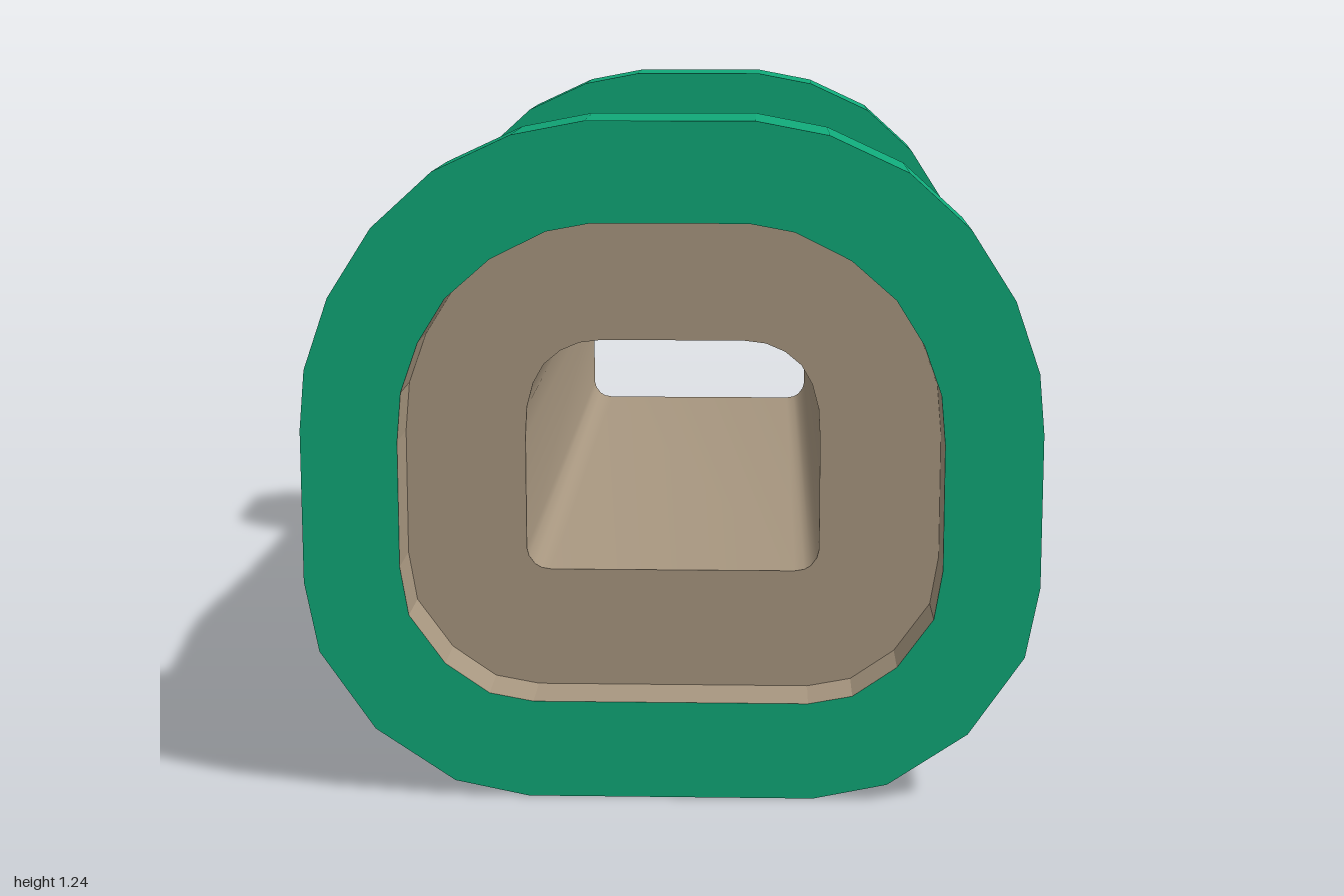
import * as THREE from 'three';
import { toCreasedNormals } from 'three/addons/utils/BufferGeometryUtils.js';

// Right halves of the outlines, from the top round to the bottom
const FLANGE = [[0.15, 1.235], [0.28, 1.21], [0.42, 1.145], [0.53, 1.045], [0.61, 0.92], [0.655, 0.79],
  [0.665, 0.68], [0.665, 0.40], [0.64, 0.27], [0.54, 0.125], [0.395, 0.028], [0.26, 0]];
const BODY = [[0.14, 1.095], [0.235, 1.08], [0.35, 1.025], [0.435, 0.945], [0.49, 0.855], [0.522, 0.76],
  [0.53, 0.67], [0.53, 0.41], [0.51, 0.325], [0.44, 0.22], [0.345, 0.155], [0.25, 0.14]];
const RECESS = [[0.14, 1.055], [0.22, 1.04], [0.32, 0.99], [0.40, 0.92], [0.45, 0.84], [0.482, 0.75],
  [0.49, 0.66], [0.49, 0.43], [0.475, 0.34], [0.41, 0.25], [0.33, 0.195], [0.25, 0.18]];
const HOLE = [[0.13, 0.83], [0.17, 0.825], [0.205, 0.81], [0.235, 0.785], [0.255, 0.75], [0.267, 0.705],
  [0.27, 0.65], [0.27, 0.44], [0.266, 0.425], [0.255, 0.41], [0.243, 0.403], [0.225, 0.40]];

// Mirrored closed ring at depth z; bulge widens the sides
function ring(half, z, bulge = 0) {
  const right = half.map(([x, y]) => [x + bulge * (x / 0.53) ** 2, y, z]);
  const left = right.map(([x, y]) => [-x, y, z]).reverse();
  return [...right, ...left];
}

// Skin joining successive rings
function loft(rings, crease = 0.02) {
  const pos = [];
  for (let r = 0; r < rings.length - 1; r++) {
    const A = rings[r], B = rings[r + 1];
    for (let i = 0; i < A.length; i++) {
      const j = (i + 1) % A.length;
      pos.push(...A[i], ...B[i], ...B[j], ...A[i], ...B[j], ...A[j]);
    }
  }
  const g = new THREE.BufferGeometry();
  g.setAttribute('position', new THREE.Float32BufferAttribute(pos, 3));
  return toCreasedNormals(g, crease);
}

export function createModel() {
  const group = new THREE.Group();
  const green = new THREE.MeshStandardMaterial({ color: 0x10a878 });
  green.name = 'green';
  const tan = new THREE.MeshStandardMaterial({ color: 0xa89780 });
  tan.name = 'tan';

  const add = (name, rings, material, crease) => {
    const mesh = new THREE.Mesh(loft(rings, crease), material);
    mesh.name = name;
    group.add(mesh);
  };

  // End flanges
  add('rearFlange', [ring(RECESS, -1), ring(FLANGE, -1), ring(FLANGE, -0.78), ring(BODY, -0.78)], green);
  add('frontFlange', [ring(BODY, 0.78), ring(FLANGE, 0.78), ring(FLANGE, 1), ring(RECESS, 1)], green);

  // Pipe body, swelling sideways ahead of the middle
  const swell = [[-0.78, 0], [-0.45, 0.005], [-0.2, 0.013], [0, 0.03], [0.15, 0.045], [0.22, 0.049],
    [0.33, 0.042], [0.45, 0.025], [0.58, 0.007], [0.78, 0]];
  add('pipeBody', swell.map(([z, b]) => ring(BODY, z, b)), green, 0.12);

  // Recessed end faces
  add('frontRecess', [ring(RECESS, 1), ring(RECESS, 0.89), ring(HOLE, 0.89)], tan);
  add('rearRecess', [ring(HOLE, -0.89), ring(RECESS, -0.89), ring(RECESS, -1)], tan);

  // Tunnel through the middle
  add('tunnel', [ring(HOLE, 0.89), ring(HOLE, -0.89)], tan, 0.6);

  return group;
}
